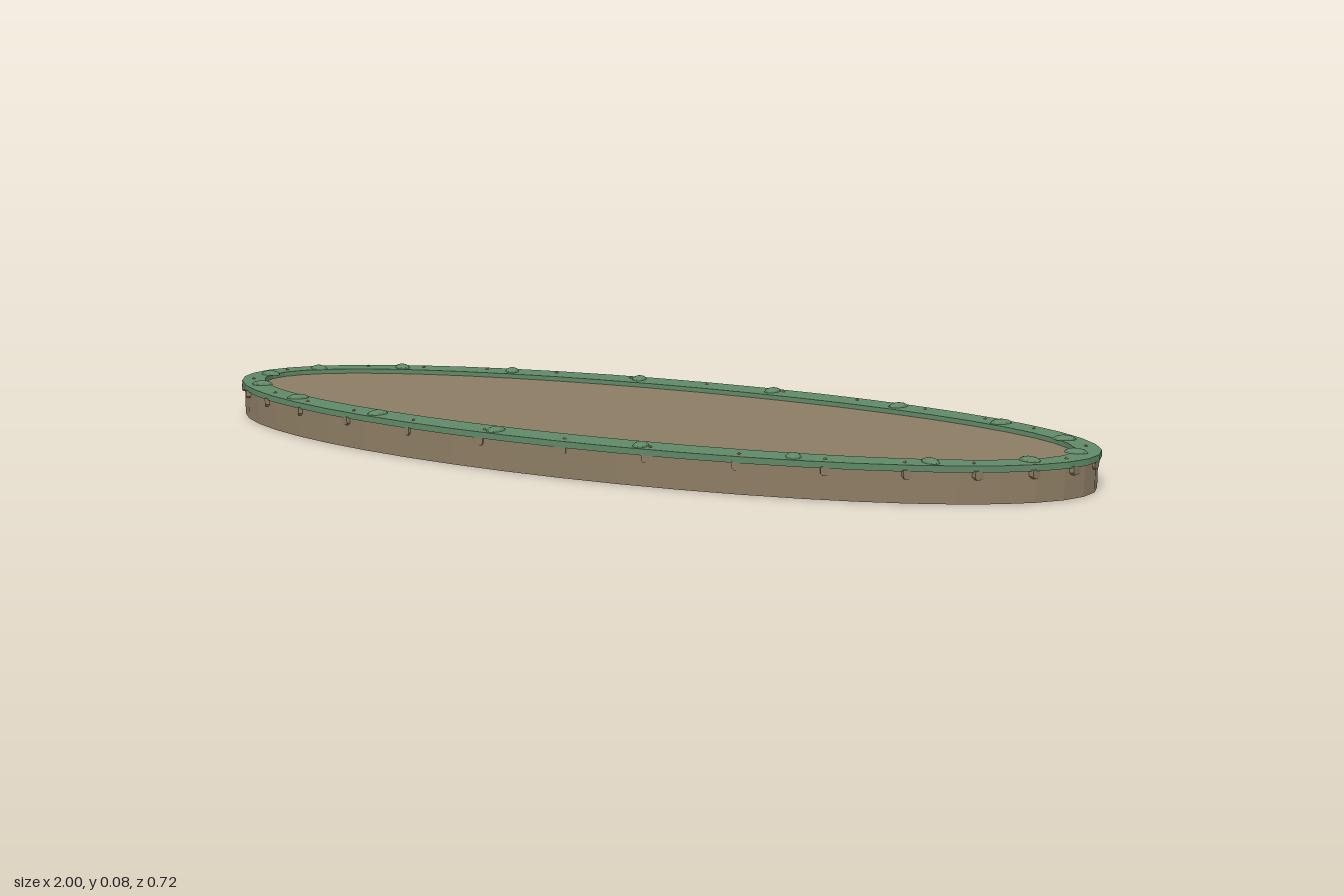
import * as THREE from 'three';

const SIDES = 48;

export function createModel() {
  const model = new THREE.Group();
  model.name = 'ovalPlatform';

  const material = (name, color) => {
    const m = new THREE.MeshStandardMaterial({ color, flatShading: true });
    m.name = name;
    return m;
  };
  const earth = material('earth brown', 0x8c7c63);
  const moss = material('moss green', 0x5f8866);
  const blossom = material('blossom red', 0xb0705f);

  const add = (name, geometry, mat) => {
    const mesh = new THREE.Mesh(geometry, mat);
    mesh.name = name;
    model.add(mesh);
    return mesh;
  };

  // Place a mesh on an ellipse, its local x pointing outward at the given angle
  const placeOnOval = (mesh, angle, rx, y, rz) => {
    mesh.position.set(rx * Math.cos(angle), y, rz * Math.sin(angle));
    mesh.rotation.y = -angle;
  };

  // Oval body
  const body = new THREE.CylinderGeometry(1, 1, 0.066, SIDES);
  body.scale(0.993, 1, 0.357).translate(0, 0.033, 0);
  add('body', body, earth);

  // Raised rim, an oval with an oval hole
  const ovalPoints = (rx, rz) => Array.from({ length: SIDES }, (_, i) => {
    const a = (i / SIDES) * Math.PI * 2;
    return new THREE.Vector2(rx * Math.cos(a), rz * Math.sin(a));
  });
  const rimShape = new THREE.Shape(ovalPoints(1, 0.36));
  rimShape.holes.push(new THREE.Path(ovalPoints(0.948, 0.289)));
  const rim = new THREE.ExtrudeGeometry(rimShape, { depth: 0.013, bevelEnabled: false });
  rim.rotateX(-Math.PI / 2).translate(0, 0.063, 0);
  add('rim', rim, moss);

  // Low tufts on top of the rim
  const tuft = new THREE.SphereGeometry(1, 10, 4, 0, Math.PI * 2, 0, Math.PI / 2);
  tuft.scale(0.024, 0.009, 0.016);
  for (let i = 0; i < 18; i++) {
    placeOnOval(add('tuft', tuft, moss), (i / 18) * Math.PI * 2, 0.953, 0.0755, 0.33);
  }

  // Tapered pegs under the rim, and tiny blossoms above them
  const pegShape = new THREE.Shape([
    [-0.01, 0.048], [0.01, 0.048], [0.014, 0.053], [0.014, 0.066], [-0.014, 0.066], [-0.014, 0.053],
  ].map(([x, y]) => new THREE.Vector2(x, y)));
  const peg = new THREE.ExtrudeGeometry(pegShape, { depth: 0.016, bevelEnabled: false });
  peg.translate(0, 0, -0.008).rotateY(Math.PI / 2);
  const bud = new THREE.OctahedronGeometry(0.004);
  for (let i = 0; i < 32; i++) {
    const angle = (i / 32) * Math.PI * 2;
    placeOnOval(add('peg', peg, earth), angle, 0.988, 0, 0.35);
    placeOnOval(add('blossom', bud, blossom), angle, 0.972, 0.0765, 0.336);
  }

  return model;
}
